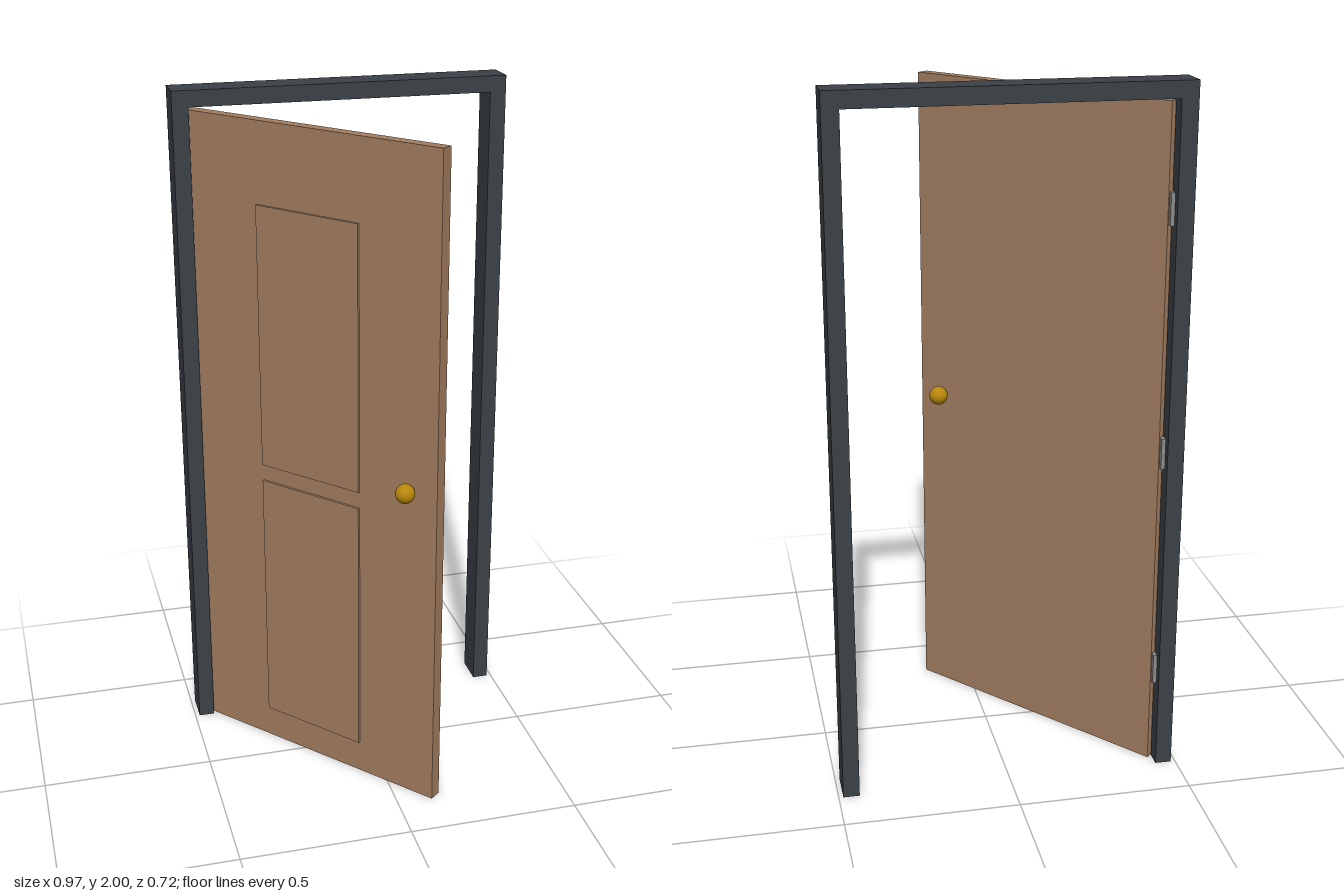
import * as THREE from 'three';

export function createModel() {
  const model = new THREE.Group();
  const frameGrey = new THREE.MeshStandardMaterial({ name: 'frame grey', color: 0x3b4147 });
  const wood = new THREE.MeshStandardMaterial({ name: 'door wood', color: 0xa27d60 });
  const brass = new THREE.MeshStandardMaterial({ name: 'knob brass', color: 0xb8860b });
  const steel = new THREE.MeshStandardMaterial({ name: 'hinge steel', color: 0x8c8c8c });

  const add = (parent, name, geometry, material, x, y, z) => {
    const mesh = new THREE.Mesh(geometry, material);
    mesh.name = name;
    mesh.position.set(x, y, z);
    parent.add(mesh);
    return mesh;
  };
  const box = (w, h, d) => new THREE.BoxGeometry(w, h, d);

  // Frame: one arch-shaped extrusion, open at the bottom
  const W = 0.487, BAR = 0.047, DEPTH = 0.096, FRAME_Z = -0.316;
  const inner = W - BAR;
  const outline = new THREE.Shape([
    [-W, 0], [-inner, 0], [-inner, 2 - BAR], [inner, 2 - BAR],
    [inner, 0], [W, 0], [W, 2], [-W, 2],
  ].map(([x, y]) => new THREE.Vector2(x, y)));
  const frameGeometry = new THREE.ExtrudeGeometry(outline, { depth: DEPTH, bevelEnabled: false });
  add(model, 'doorFrame', frameGeometry, frameGrey, 0, 0, FRAME_Z - DEPTH / 2);

  // Door leaf swung open about the hinge line; local x runs away from the hinge
  const door = new THREE.Group();
  door.name = 'door';
  door.position.set(-inner, 0, FRAME_Z);
  door.rotation.y = -THREE.MathUtils.degToRad(50);
  model.add(door);

  const L = 0.867, H = 1.943, T = 0.037;
  add(door, 'doorLeaf', box(L, H, T), wood, L / 2, H / 2, 0);

  // Raised panels on the front face
  for (const [name, y] of [['lowerPanel', 0.49], ['upperPanel', 1.32]]) {
    add(door, name, box(0.346, 0.78, 0.014), wood, L / 2, y, T / 2);
  }

  // Knob on each face
  for (const [name, side] of [['frontKnob', 1], ['backKnob', -1]]) {
    add(door, name, new THREE.SphereGeometry(0.028, 24, 16), brass, 0.779, 0.98, side * 0.045);
  }

  // Hinge plates on the post
  for (const y of [0.3, 0.97, 1.66]) {
    add(model, 'hinge', box(0.012, 0.09, 0.03), steel, -inner + 0.005, y, FRAME_Z - 0.01);
  }
  return model;
}
